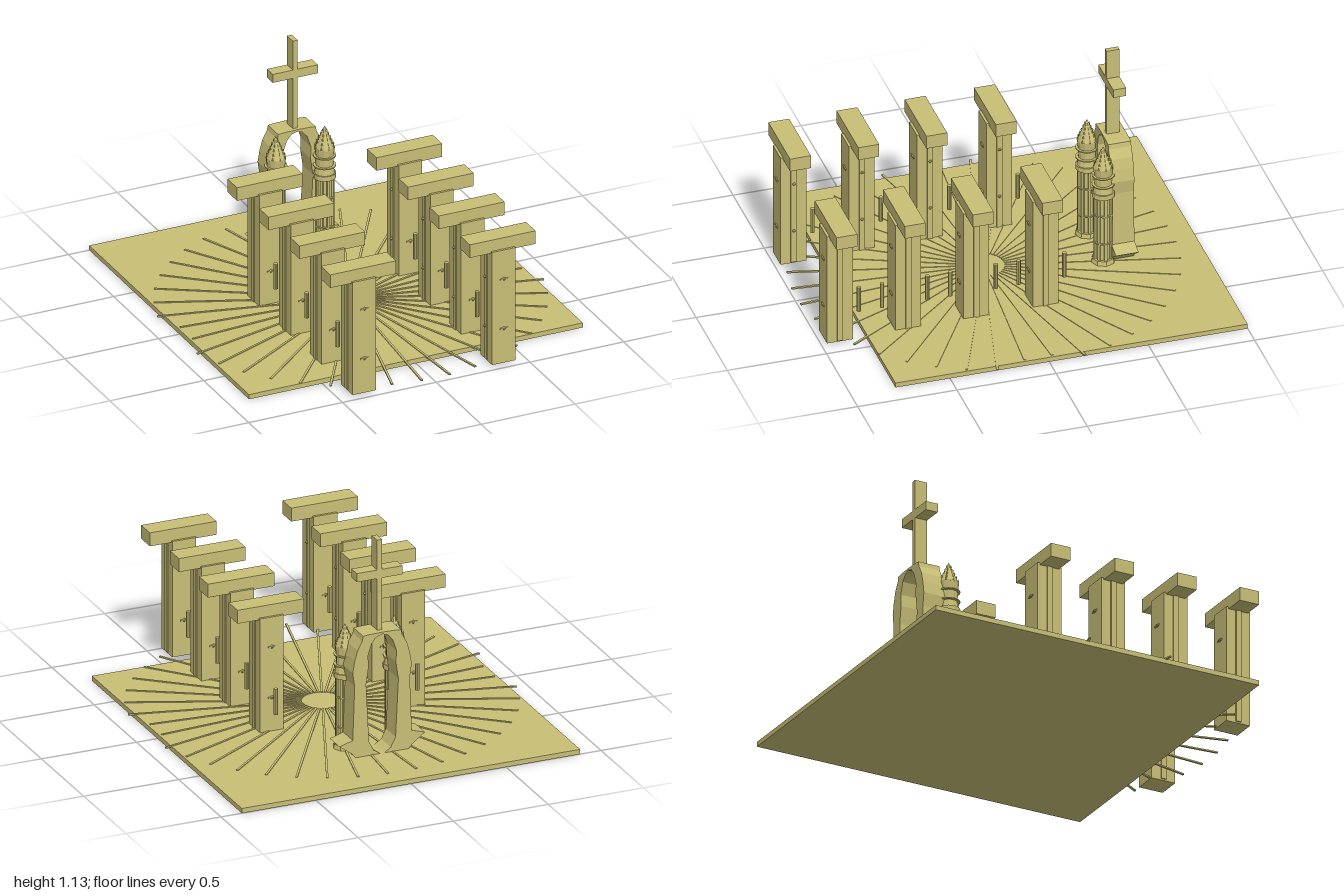
import * as THREE from 'three';

const stone = new THREE.MeshStandardMaterial({ color: 0xc8be76, flatShading: true });
stone.name = 'sandstone';

function add(parent, name, geometry, x = 0, y = 0, z = 0) {
  const mesh = new THREE.Mesh(geometry, stone);
  mesh.name = name;
  mesh.position.set(x, y, z);
  parent.add(mesh);
  return mesh;
}
const box = (w, h, d) => new THREE.BoxGeometry(w, h, d);
const cyl = (top, bottom, h, sides) => new THREE.CylinderGeometry(top, bottom, h, sides);

function makeGroup(parent, name, x = 0, y = 0, z = 0) {
  const g = new THREE.Group();
  g.name = name;
  g.position.set(x, y, z);
  parent.add(g);
  return g;
}

// Slab with thin rays spreading over it and past its front edge
function buildFloor(model) {
  add(model, 'floorSlab', box(1.78, 0.025, 1.775), 0, 0.0125, -0.1125);
  const rays = makeGroup(model, 'floorRays', 0, 0.025, 0.05);
  for (let i = 0; i < 40; i++) {
    const angle = THREE.MathUtils.degToRad(4.5 + 9 * i);
    const outer = Math.abs(Math.sin(angle)) > 0.99 ? 0.88 : 0.95;
    const inner = 0.1;
    const mid = (outer + inner) / 2;
    const ray = add(rays, 'floorRay', box(0.011, 0.007, outer - inner),
      Math.sin(angle) * mid, 0, Math.cos(angle) * mid);
    ray.rotation.y = angle;
  }
}

// Broad pier with a long lintel, side strips and small pointed studs
function buildPier(model, side, z) {
  const pier = makeGroup(model, 'pier', side * 0.372, 0, z);
  add(pier, 'pierBody', box(0.125, 0.605, 0.13), 0, 0.3175, 0);
  add(pier, 'pierLintel', box(0.35, 0.07, 0.105), 0, 0.645, 0);
  for (const s of [-1, 1]) {
    add(pier, 'pierStrip', box(0.008, 0.595, 0.028), s * 0.065, 0.32, 0);
    for (const y of [0.2, 0.465]) {
      const stud = add(pier, 'pierStud', cyl(0.003, 0.011, 0.01, 6), 0, y, s * 0.069);
      stud.rotation.x = s * Math.PI / 2;
      add(pier, 'studBar', box(0.04, 0.008, 0.006), 0, y, s * 0.067);
    }
  }
  for (const y of [0.2, 0.465]) {
    const stud = add(pier, 'innerStud', cyl(0.003, 0.011, 0.014, 6), -side * 0.072, y, 0);
    stud.rotation.z = side * Math.PI / 2;
  }
}

// Slender turret with rings and a ribbed spire
function buildTurret(model, side) {
  const turret = makeGroup(model, 'turret', side * 0.13, 0, -0.51);
  add(turret, 'turretBase', cyl(0.055, 0.06, 0.022, 8), 0, 0.036, 0);
  add(turret, 'turretShaft', cyl(0.041, 0.041, 0.36, 8), 0, 0.22, 0);
  for (let i = 0; i < 8; i++) {
    const a = i * Math.PI / 4;
    const strip = add(turret, 'shaftStrip', box(0.014, 0.35, 0.01), Math.sin(a) * 0.042, 0.22, Math.cos(a) * 0.042);
    strip.rotation.y = a;
  }
  for (const y of [0.14, 0.295]) add(turret, 'shaftBand', cyl(0.05, 0.05, 0.007, 8), 0, y, 0);
  add(turret, 'turretCollar', cyl(0.056, 0.056, 0.026, 12), 0, 0.408, 0);
  const neck = [[0.05, 0.42], [0.043, 0.46], [0.044, 0.51], [0.05, 0.56]];
  add(turret, 'turretNeck', new THREE.LatheGeometry(neck.map(p => new THREE.Vector2(...p)), 12));
  for (const y of [0.46, 0.512]) add(turret, 'neckRing', cyl(0.056, 0.056, 0.006, 12), 0, y, 0);
  add(turret, 'spire', cyl(0.002, 0.05, 0.112, 12), 0, 0.611, 0);
  for (let i = 0; i < 8; i++) {
    const a = i * Math.PI / 4;
    for (let k = 0; k < 5; k++) {
      const r = 0.047 - k * 0.009;
      const leaf = add(turret, 'spireLeaf', new THREE.ConeGeometry(0.005, 0.016, 4),
        Math.sin(a) * r, 0.568 + k * 0.02, Math.cos(a) * r);
      leaf.rotation.y = a;
    }
  }
}

// Horseshoe arch drawn as one half outline, mirrored, with flared feet
function buildArch(model) {
  const half = [
    [0, 0.66], [0.075, 0.658], [0.1, 0.655], [0.105, 0.63], [0.13, 0.585], [0.145, 0.53], [0.155, 0.47],
    [0.145, 0.4], [0.155, 0.12], [0.225, 0.098], [0.16, 0.05], [0.14, 0.027], [0.01, 0.027],
    [0.045, 0.05], [0.07, 0.1], [0.08, 0.3], [0.085, 0.4], [0.072, 0.49], [0.075, 0.55],
    [0.055, 0.61], [0.03, 0.64], [0, 0.65],
  ];
  for (const side of [1, -1]) {
    const shape = new THREE.Shape(half.map(([x, y]) => new THREE.Vector2(side * x, y)));
    const geo = new THREE.ExtrudeGeometry(shape, { depth: 0.115, bevelEnabled: false });
    add(model, 'archHalf', geo, 0, 0, -0.66);
  }
}

// Tall cross on the crown of the arch
function buildCross(model) {
  const cross = makeGroup(model, 'cross', 0, 0, -0.597);
  add(cross, 'crossPost', box(0.026, 0.48, 0.065), 0, 0.89, 0);
  add(cross, 'crossBar', box(0.24, 0.045, 0.065), 0, 0.952, 0);
}

export function createModel() {
  const model = new THREE.Group();
  model.name = 'stoneSanctuary';
  buildFloor(model);
  const rows = [-0.125, 0.225, 0.568, 0.912];
  const rodRows = [-0.238, -0.008, 0.107, 0.337, 0.452, 0.68, 0.797];
  for (const side of [1, -1]) {
    for (const z of rows) buildPier(model, side, z);
    for (const z of rodRows) add(model, 'hangingRod', cyl(0.011, 0.011, 0.135, 10), side * 0.372, 0.197, z);
    buildTurret(model, side);
  }
  buildArch(model);
  buildCross(model);
  return model;
}
